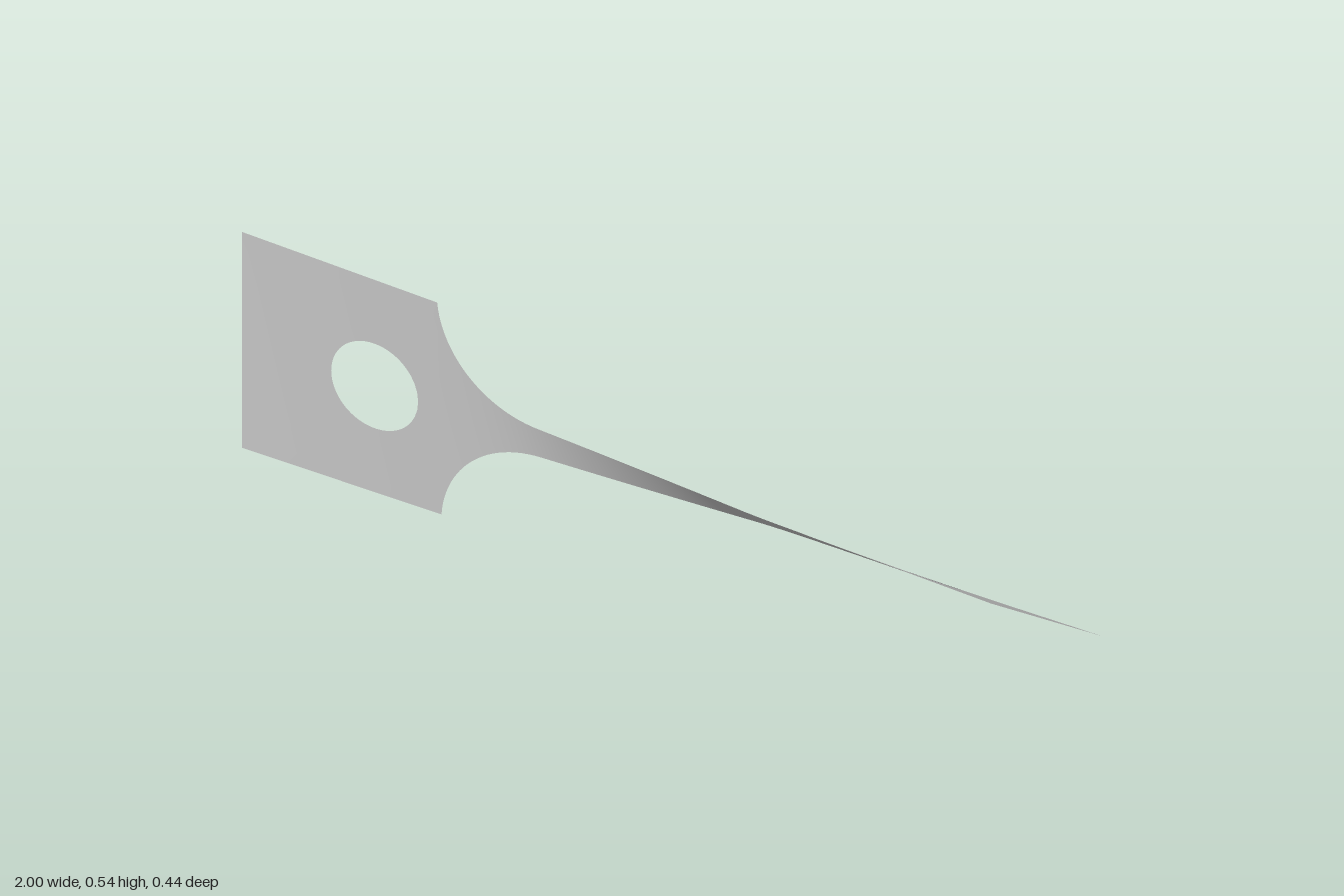
import * as THREE from 'three';
import { mergeVertices } from 'three/addons/utils/BufferGeometryUtils.js';

const MID_Y = 0.271, HALF = 0.271;       // axis height, half width of the grips
const NECK = 0.04, NECK_END = 0.26;      // half width and half length of the neck
const R = 0.25;                          // fillet radius
const U_MAX = Math.sqrt(R * R - (NECK + R - HALF) ** 2);
const GRIP = NECK_END + U_MAX;           // where the grips begin
const HOLE_X = 0.67, HOLE_R = 0.108;

// Half width of the bar along its length
function halfWidth(x) {
  const u = Math.min(Math.max(Math.abs(x) - NECK_END, 0), U_MAX);
  return NECK + R - Math.sqrt(R * R - u * u);
}

// Twist about the long axis: fast in the neck, slow in the wide grips
function twist(x) {
  const a = Math.abs(x);
  const g = (u) => u / Math.sqrt(0.04 + 2 * u * u);
  const neck = 16.9 * Math.min(a / NECK_END, 1);
  const fillet = 8 * g(Math.min(Math.max(a - NECK_END, 0), U_MAX)) / g(U_MAX);
  const grip = 1.8 * Math.max(a - GRIP, 0) / (1 - GRIP);
  return THREE.MathUtils.degToRad(26.7 + Math.sign(x) * (neck + fillet + grip));
}

// Sheet of rows x cols quads; at(i, j) gives the flat point [x, v], then it is twisted
function twistedSheet(rows, cols, at) {
  const pos = [], index = [];
  for (let i = 0; i <= rows; i++) {
    for (let j = 0; j <= cols; j++) {
      const [x, v] = at(i, j);
      const t = twist(x);
      pos.push(x, MID_Y + v * Math.cos(t), v * Math.sin(t));
      if (i < rows && j < cols) {
        const a = i * (cols + 1) + j, b = a + cols + 1;
        index.push(a, b, a + 1, b, b + 1, a + 1);
      }
    }
  }
  let geo = new THREE.BufferGeometry();
  geo.setAttribute('position', new THREE.Float32BufferAttribute(pos, 3));
  geo.setIndex(index);
  geo = mergeVertices(geo, 1e-5);
  geo.computeVertexNormals();
  return geo;
}

// Neck with its fillets; fillet rows are spaced evenly along the arc
function neckGeometry() {
  const half = [];
  for (let i = 0; i <= 20; i++) half.push(NECK_END * i / 20);
  const end = Math.asin(U_MAX / R);
  for (let i = 1; i <= 24; i++) half.push(NECK_END + R * Math.sin(end * i / 24));
  const xs = [...half.slice(1).reverse().map((x) => -x), ...half];
  return twistedSheet(xs.length - 1, 8, (i, j) => [xs[i], halfWidth(xs[i]) * (j / 4 - 1)]);
}

// Rectangular grip with a round hole: rings from the hole out to the border
function gripGeometry(side) {
  const x0 = GRIP - HOLE_X, x1 = 1 - HOLE_X, per = 16;
  const corners = [[x1, -HALF], [x1, HALF], [x0, HALF], [x0, -HALF]];
  return twistedSheet(per * 4, 6, (i, j) => {
    const k = Math.floor(i / per) % 4, f = (i % per) / per;
    const p = corners[k], q = corners[(k + 1) % 4];
    const ox = p[0] + (q[0] - p[0]) * f, oy = p[1] + (q[1] - p[1]) * f;
    const s = HOLE_R / Math.hypot(ox, oy), m = s + (1 - s) * j / 6;
    return [side * (HOLE_X + ox * m), side * oy * m];
  });
}

export function createModel() {
  const group = new THREE.Group();
  group.name = 'twistedTestBar';
  const steel = new THREE.MeshStandardMaterial({ color: 0xc8c8c8, side: THREE.DoubleSide });
  steel.name = 'light grey';
  const add = (name, geometry) => {
    const mesh = new THREE.Mesh(geometry, steel);
    mesh.name = name;
    group.add(mesh);
  };
  add('neck', neckGeometry());
  add('leftGrip', gripGeometry(1));
  add('rightGrip', gripGeometry(-1));
  return group;
}
